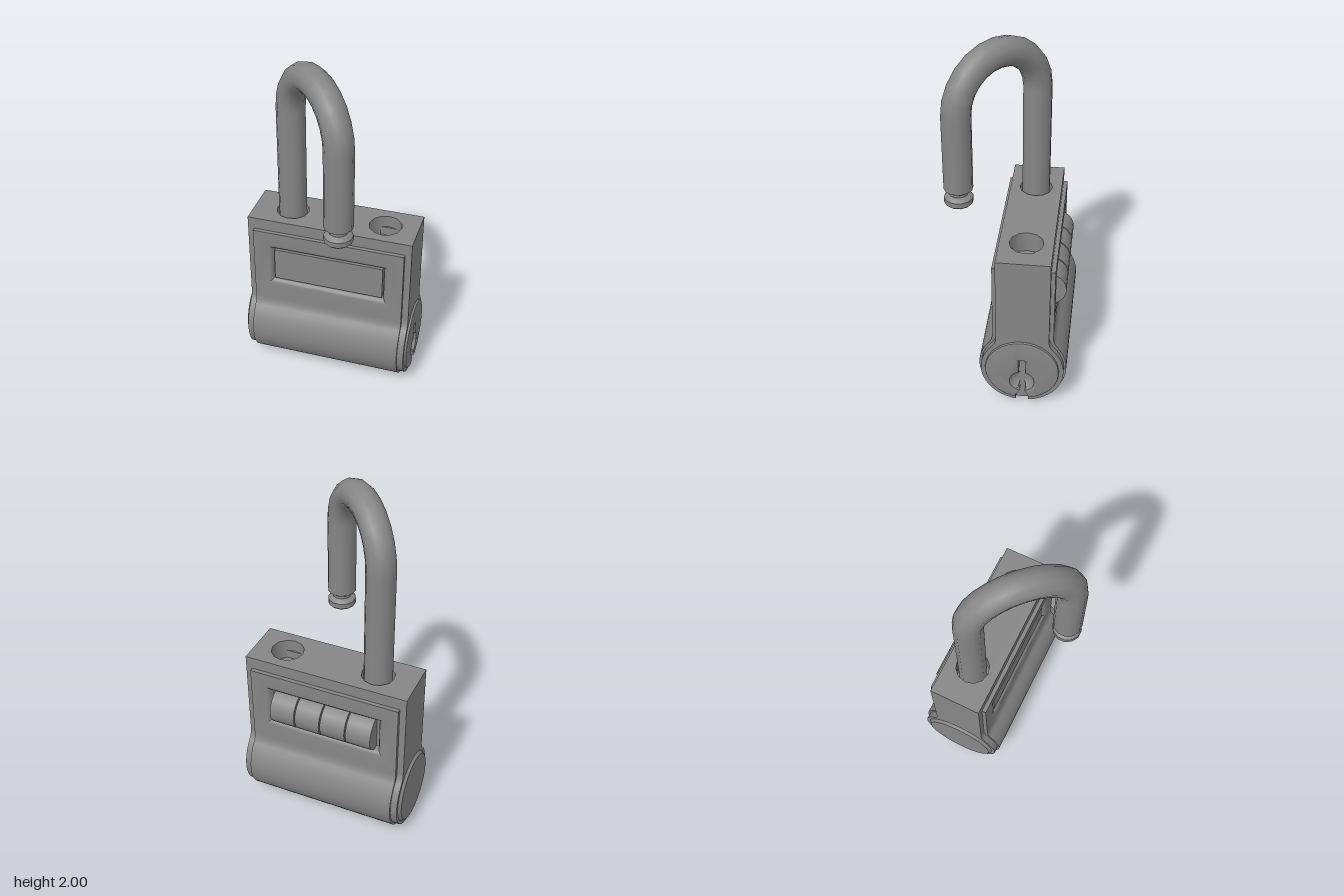
import * as THREE from 'three';
import { toCreasedNormals } from 'three/addons/utils/BufferGeometryUtils.js';

const ZC = -0.112;          // depth centre of the case
const CY = 0.245;           // height of the barrel centre
const BOTTOM = 1.5 * Math.PI;

export function createModel() {
  const model = new THREE.Group();
  const mat = new THREE.MeshStandardMaterial({ color: 0x868686 });
  const thin = new THREE.MeshStandardMaterial({ color: 0x868686, side: THREE.DoubleSide });

  function add(name, geo, parent = model, material = mat) {
    const mesh = new THREE.Mesh(geo, material);
    mesh.name = name;
    parent.add(mesh);
    return mesh;
  }
  const smooth = (geo, angle = 0.6) => toCreasedNormals(geo, angle);

  function arc(cx, cy, r, a0, a1, n) {
    const pts = [];
    for (let i = 0; i <= n; i++) {
      const a = a0 + (a1 - a0) * i / n;
      pts.push(new THREE.Vector2(cx + r * Math.cos(a), cy + r * Math.sin(a)));
    }
    return pts;
  }
  const v = (list) => list.map(([x, y]) => new THREE.Vector2(x, y));

  // keyway outline, from its lower left round the dish to its lower right
  const keyway = [
    ...v([[-0.034, 0.055], [-0.012, 0.09]]),
    ...arc(0, 0.165, 0.068, BOTTOM - 0.28, Math.PI / 2 + 0.28, 10),
    ...v([[-0.02, 0.32], [0.02, 0.32]]),
    ...arc(0, 0.165, 0.068, Math.PI / 2 - 0.28, -Math.PI / 2 + 0.28, 10),
    ...v([[0.016, 0.09], [0.036, 0.055]]),
  ];

  // case cross-section: narrow neck flowing into a round barrel, optionally cut by the keyway
  function section(r, half, top, cut = []) {
    const f = 0.09;         // radius of the hollow between neck and barrel
    const rise = Math.sqrt((r + f) ** 2 - (half + f) ** 2);
    const a = Math.atan2(rise, half + f);
    const gap = cut.length ? 0.15 : 0;
    const left = arc(0, CY, r, Math.PI - a, BOTTOM - gap, 16).slice(1);
    const right = arc(0, CY, r, BOTTOM + gap, 2 * Math.PI + a, 16).slice(cut.length ? 0 : 1, -1);
    return new THREE.Shape([
      ...v([[half, top], [-half, top]]),
      ...arc(-half - f, CY + rise, f, 0, -a, 6), ...left, ...cut, ...right,
      ...arc(half + f, CY + rise, f, Math.PI + a, Math.PI, 6),
    ]);
  }
  // extrude a cross-section along x, between x0 and x1
  function alongX(shape, x0, x1, bevel = 0) {
    const geo = new THREE.ExtrudeGeometry(shape, {
      depth: x1 - x0 - 2 * bevel, bevelEnabled: bevel > 0, bevelThickness: bevel,
      bevelSize: bevel, bevelOffset: -bevel, bevelSegments: 2,
    });
    geo.translate(0, 0, x0 + bevel).rotateY(Math.PI / 2).translate(0, 0, ZC);
    return smooth(geo);
  }

  // case: core, two end plates, barrel
  add('caseCore', alongX(section(0.232, 0.12, 0.87), -0.44, 0.44));
  add('plainEndPlate', alongX(section(0.232, 0.147, 0.86), -0.477, -0.44));
  add('keyEndPlate', alongX(section(0.232, 0.147, 0.86, keyway), 0.44, 0.477));
  add('barrel', alongX(section(0.245, 0.1695, 0.55), -0.44, 0.44));

  // top block with two shackle sockets
  const topShape = new THREE.Shape(v([[-0.477, -0.147], [0.477, -0.147], [0.477, 0.147], [-0.477, 0.147]]));
  for (const x of [-0.255, 0.29]) {
    topShape.holes.push(new THREE.Path(arc(x, 0, 0.093, 0, 2 * Math.PI, 12).slice(0, 12)));
  }
  const topGeo = new THREE.ExtrudeGeometry(topShape, { depth: 0.13, bevelEnabled: false });
  add('topBlock', smooth(topGeo.rotateX(-Math.PI / 2).translate(0, 0.86, ZC)));

  // framed windows on front and back: rounded lip inside, square edge outside
  const frameShape = new THREE.Shape(v([[-0.44, 0.49], [0.44, 0.49], [0.44, 0.92], [-0.44, 0.92]]));
  frameShape.holes.push(new THREE.Path(v([[-0.325, 0.595], [-0.325, 0.805], [0.325, 0.805], [0.325, 0.595]])));
  for (const side of [1, -1]) {
    const geo = new THREE.ExtrudeGeometry(frameShape, {
      depth: 0.01, bevelThickness: 0.04, bevelSize: 0.035, bevelOffset: -0.035, bevelSegments: 4,
    });
    const p = geo.attributes.position;
    for (let i = 0; i < p.count; i++) {
      if (Math.abs(p.getX(i)) > 0.4) p.setX(i, 0.44 * Math.sign(p.getX(i)));
      if (p.getY(i) > 0.87) p.setY(i, 0.92);
      if (p.getY(i) < 0.54) p.setY(i, 0.49);
    }
    geo.translate(0, 0, 0.17 - 0.05);
    if (side < 0) geo.rotateY(Math.PI);
    add(side > 0 ? 'frontFrame' : 'backFrame', smooth(geo.translate(0, 0, ZC)));
  }
  add('frontPlate', new THREE.BoxGeometry(0.64, 0.2, 0.05).translate(0, 0.7, 0.02));

  // four number dials with narrow gaps
  const dials = new THREE.Group();
  dials.name = 'dials';
  model.add(dials);
  for (let i = 0; i < 4; i++) {
    const geo = new THREE.CylinderGeometry(0.11, 0.11, 0.145, 24).rotateZ(Math.PI / 2);
    add('dial', geo.translate(-0.23 + i * 0.153, 0.695, -0.225), dials);
  }
  add('dialAxle', new THREE.CylinderGeometry(0.095, 0.095, 0.6, 24).rotateZ(Math.PI / 2)
    .translate(0, 0.695, -0.225), dials);

  // end caps: plain on one side, lock plug on the other
  add('plainCap', new THREE.CylinderGeometry(0.198, 0.213, 0.018, 32).rotateZ(Math.PI / 2)
    .translate(-0.484, CY, ZC));
  const plug = new THREE.Shape([...arc(0, CY, 0.207, BOTTOM + 0.17, BOTTOM - 0.17 + 2 * Math.PI, 32), ...keyway]);
  add('lockPlug', alongX(plug, 0.468, 0.491, 0.008));

  // dished key guide, split by the key slot
  const dishProfile = v([[0.03, 0.445], [0.055, 0.46], [0.072, 0.486]]);
  for (const start of [-Math.PI / 2, Math.PI / 2]) {
    const geo = new THREE.LatheGeometry(dishProfile, 10, start + 0.37, Math.PI - 0.74);
    add('keyDish', geo.rotateZ(-Math.PI / 2).translate(0, 0.165, ZC), model, thin);
  }

  // open shackle, swung about its long leg
  const shackle = new THREE.Group();
  shackle.name = 'shackle';
  shackle.position.set(-0.255, 0, ZC);
  shackle.rotation.y = -Math.PI / 4;
  model.add(shackle);
  const R = 0.272, r = 0.08, archY = 1.648;
  const leg = (y0) => new THREE.CylinderGeometry(r, r, archY - y0, 12, 1, true)
    .translate(0, (archY + y0) / 2, 0);
  add('longLeg', leg(0.86), shackle);
  add('shortLeg', leg(1.21).translate(2 * R, 0, 0), shackle);
  add('arch', new THREE.TorusGeometry(R, r, 12, 12, Math.PI).translate(R, archY, 0), shackle);
  const tip = v([[0, 1.115], [0.07, 1.115], [r, 1.125], [r, 1.155], [0.072, 1.165],
    [0.052, 1.175], [0.052, 1.19], [0.072, 1.205], [r, 1.212]]);
  add('latchTip', smooth(new THREE.LatheGeometry(tip, 12).translate(2 * R, 0, 0)), shackle);

  return model;
}
